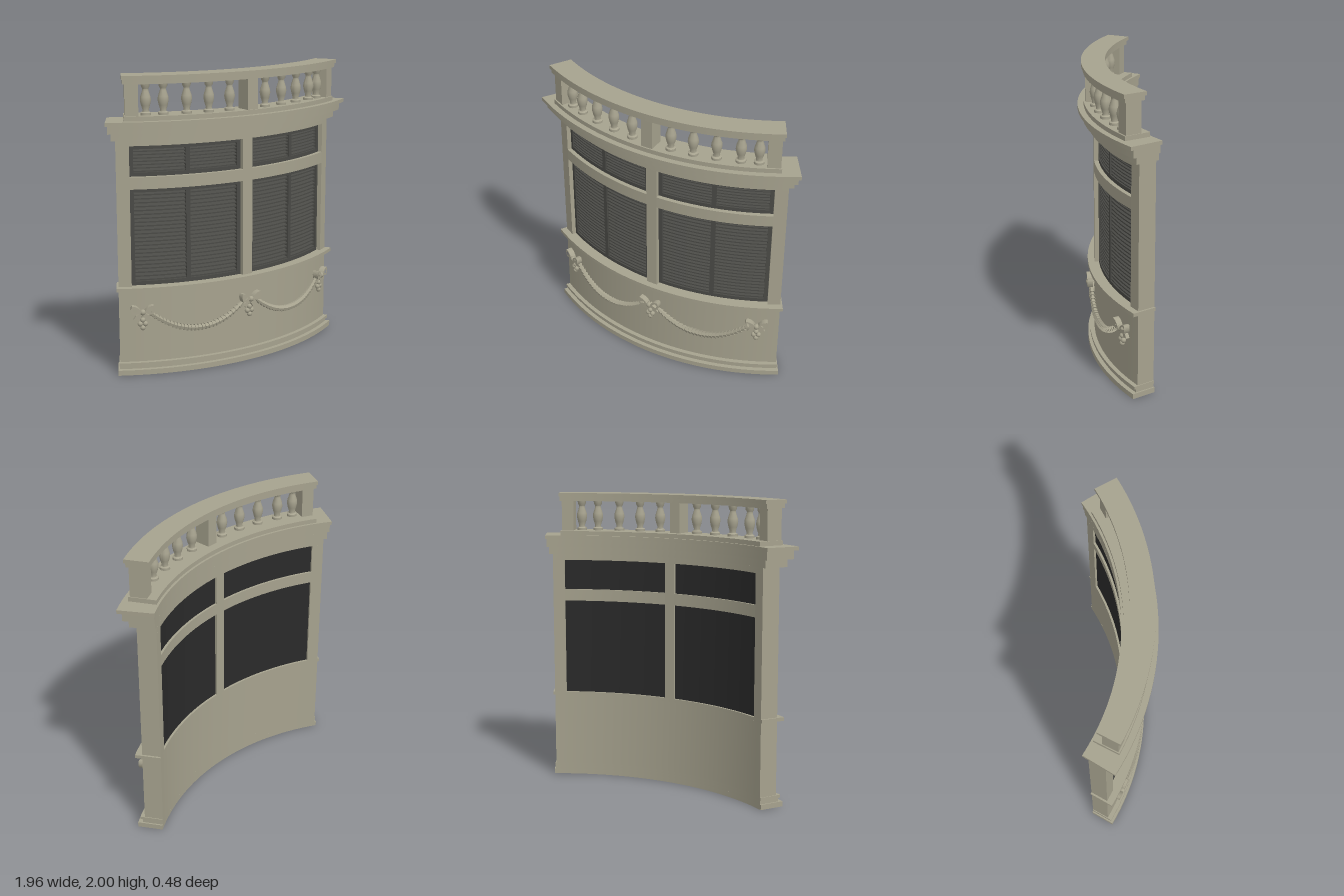
import * as THREE from 'three';
import { toCreasedNormals } from 'three/addons/utils/BufferGeometryUtils.js';

const ZC = -1.595; // z of the centre that every curved part is swept around
const RAD = Math.PI / 180;

export function createModel() {
  const model = new THREE.Group();
  model.name = 'curvedKiosk';

  const stone = new THREE.MeshStandardMaterial({ color: 0xa6a28e });
  stone.name = 'stone';
  const frameDark = new THREE.MeshStandardMaterial({ color: 0x4a4a46 });
  frameDark.name = 'frameCharcoal';
  const panelDark = new THREE.MeshStandardMaterial({ color: 0x2a2a2a });
  panelDark.name = 'panelBlack';

  function add(parent, name, geometry, material) {
    const mesh = new THREE.Mesh(geometry, material);
    mesh.name = name;
    parent.add(mesh);
    return mesh;
  }

  function group(parent, name) {
    const g = new THREE.Group();
    g.name = name;
    parent.add(g);
    return g;
  }

  // Sweep a closed (radius, height) profile between two angles in degrees
  function sweep(points, a0, a1) {
    const shape = new THREE.Shape(points.map(([r, y]) => new THREE.Vector2(r, y)));
    const steps = Math.max(1, Math.round((a1 - a0) / 2));
    const geo = new THREE.ExtrudeGeometry(shape, { depth: a1 - a0, steps, bevelEnabled: false });
    const p = geo.attributes.position;
    for (let i = 0; i < p.count; i++) {
      const r = p.getX(i), a = (a1 - p.getZ(i)) * RAD;
      p.setXYZ(i, r * Math.sin(a), p.getY(i), ZC + r * Math.cos(a));
    }
    geo.deleteAttribute('normal');
    geo.deleteAttribute('uv');
    return toCreasedNormals(geo, 0.4);
  }

  const band = (parent, name, r0, r1, y0, y1, a0, a1, mat = stone) =>
    add(parent, name, sweep([[r0, y0], [r1, y0], [r1, y1], [r0, y1]], a0, a1), mat);

  // Holder that sits on the curve at an angle and faces outward
  function mount(parent, name, angle, r, y) {
    const g = group(parent, name);
    g.position.set(r * Math.sin(angle * RAD), y, ZC + r * Math.cos(angle * RAD));
    g.rotation.y = angle * RAD;
    return g;
  }

  // Wall, plinth, sill and stepped cornice
  const wall = group(model, 'wall');
  [
    ['plinth', 1.6, 1.77, 0, 0.035, 30.95],
    ['plinthStep', 1.6, 1.74, 0.035, 0.06, 30.6],
    ['plinthMoulding', 1.6, 1.755, 0.06, 0.08, 30.7],
    ['lowerWall', 1.6, 1.725, 0.08, 0.578, 30.5],
    ['sill', 1.6, 1.77, 0.578, 0.602, 30.95],
    ['header', 1.6, 1.725, 1.54, 1.58, 30.5],
    ['corniceLower', 1.6, 1.765, 1.58, 1.63, 31.4],
    ['corniceMiddle', 1.6, 1.8, 1.63, 1.685, 32],
    ['corniceTop', 1.595, 1.83, 1.685, 1.71, 32.4],
  ].forEach(([name, r0, r1, y0, y1, a]) => band(wall, name, r0, r1, y0, y1, -a, a));
  band(wall, 'centrePost', 1.6, 1.725, 0.602, 1.54, -1.3, 1.3);
  for (const s of [-1, 1]) {
    const span = (a, b) => (s > 0 ? [a, b] : [-b, -a]);
    band(wall, 'endPilaster', 1.6, 1.725, 0.602, 1.54, ...span(27.6, 30.5));
    band(wall, 'transom', 1.6, 1.725, 1.255, 1.335, ...span(1.3, 27.6));
  }

  // Louvred shutters
  function shutter(s, y0, y1, count) {
    const g = group(model, 'louvredShutter');
    const span = (a, b) => (s > 0 ? [a, b] : [-b, -a]);
    const F = 0.026;
    band(g, 'backPanel', 1.615, 1.645, y0, y1, ...span(1.3, 27.6), panelDark);
    band(g, 'bottomRail', 1.645, 1.695, y0, y0 + F, ...span(1.3, 27.6), frameDark);
    band(g, 'topRail', 1.645, 1.695, y1 - F, y1, ...span(1.3, 27.6), frameDark);
    [[1.3, 2.2], [13.95, 14.95], [26.7, 27.6]].forEach(([a, b]) =>
      band(g, 'stile', 1.645, 1.695, y0 + F, y1 - F, ...span(a, b), frameDark));
    const pitch = (y1 - y0 - 2 * F) / count;
    for (let i = 0; i < count; i++) {
      const y = y0 + F + i * pitch;
      const profile = [[1.645, y + pitch * 0.62], [1.687, y + pitch * 0.1],
        [1.687, y + pitch * 0.45], [1.645, y + pitch * 0.97]];
      for (const [a, b] of [[2.2, 13.95], [14.95, 26.7]])
        add(g, 'slat', sweep(profile, ...span(a, b)), frameDark);
    }
  }
  for (const s of [-1, 1]) {
    shutter(s, 0.602, 1.255, 23);
    shutter(s, 1.335, 1.54, 7);
  }

  // Balustrade
  const balustrade = group(model, 'balustrade');
  band(balustrade, 'baseRail', 1.61, 1.79, 1.71, 1.74, -28.6, 28.6);
  band(balustrade, 'underRail', 1.655, 1.795, 1.945, 1.975, -28.8, 28.8);
  band(balustrade, 'handRail', 1.645, 1.805, 1.975, 2, -29, 29);
  for (const [a, b] of [[-28.4, -25.6], [-1.3, 1.3], [25.6, 28.4]])
    band(balustrade, 'post', 1.67, 1.78, 1.74, 1.945, a, b);
  const balusterGeo = new THREE.LatheGeometry([
    [0, 0], [0.034, 0], [0.034, 0.016], [0.022, 0.022], [0.02, 0.034], [0.029, 0.062], [0.036, 0.095],
    [0.033, 0.118], [0.021, 0.155], [0.019, 0.168], [0.027, 0.182], [0.03, 0.205], [0, 0.205],
  ].map(([x, y]) => new THREE.Vector2(x, y)), 14);
  const baluster = toCreasedNormals(balusterGeo, 0.7);
  for (const s of [-1, 1])
    for (const a of [4.8, 9.85, 14.95, 20.1, 23.9])
      add(mount(balustrade, 'balusterMount', s * a, 1.725, 1.74), 'baluster', baluster, stone);

  // Bows with hanging buds
  const loopShape = new THREE.Shape();
  loopShape.moveTo(0.008, 0);
  loopShape.quadraticCurveTo(0.03, 0.045, 0.072, 0.046);
  loopShape.quadraticCurveTo(0.088, 0.02, 0.068, -0.012);
  loopShape.quadraticCurveTo(0.03, -0.012, 0.008, 0);
  const hole = new THREE.Path();
  hole.moveTo(0.032, 0.012);
  hole.quadraticCurveTo(0.045, 0.03, 0.064, 0.033);
  hole.quadraticCurveTo(0.072, 0.016, 0.06, 0.001);
  hole.quadraticCurveTo(0.045, 0.0, 0.032, 0.012);
  loopShape.holes.push(hole);
  const loopGeo = new THREE.ExtrudeGeometry(loopShape, { depth: 0.04, bevelEnabled: false, curveSegments: 6 });
  const tailShape = new THREE.Shape([[0, 0], [0.045, -0.03], [0.062, -0.055], [0.04, -0.052], [0.03, -0.062], [0, -0.02]]
    .map(([x, y]) => new THREE.Vector2(x, y)).reverse());
  const tailGeo = new THREE.ExtrudeGeometry(tailShape, { depth: 0.025, bevelEnabled: false });
  const budGeo = new THREE.SphereGeometry(0.018, 10, 8);

  for (const a of [-25.4, 0, 25.4]) {
    const bow = mount(model, 'bow', a, 1.725, 0.435);
    for (const flip of [0, Math.PI]) {
      const loop = add(bow, 'bowLoop', loopGeo, stone);
      const tail = add(bow, 'bowTail', tailGeo, stone);
      loop.rotation.y = tail.rotation.y = flip;
      loop.position.z = flip ? 0.052 : 0.012;
      tail.position.z = flip ? 0.028 : 0.003;
    }
    const knot = add(bow, 'bowKnot', new THREE.SphereGeometry(0.02, 10, 8), stone);
    knot.position.z = 0.04;
    const stem = add(bow, 'budStem', new THREE.CylinderGeometry(0.008, 0.008, 0.08, 8), stone);
    stem.position.set(0, -0.05, 0.02);
    for (const [x, y] of [[0, -0.058], [-0.017, -0.085], [0.017, -0.085], [0, -0.112]])
      add(bow, 'bud', budGeo, stone).position.set(x, y, 0.022);
  }

  // Leaf garlands hung between the bows
  const leafGeo = new THREE.CylinderGeometry(0.024, 0.009, 0.046, 6).toNonIndexed();
  leafGeo.computeVertexNormals();
  const up = new THREE.Vector3(0, 1, 0);
  const LEAVES = 26;
  for (const s of [-1, 1]) {
    const garland = group(model, 'garland');
    const at = (t) => {
      const a = s * (2 + t * 21.4) * RAD;
      const u = 2 * t - 1, r = 1.748;
      return new THREE.Vector3(r * Math.sin(a), 0.292 + 0.125 * Math.pow(Math.abs(u), 2.1), ZC + r * Math.cos(a));
    };
    for (let i = 0; i < LEAVES; i++) {
      const t = (i + 0.5) / LEAVES;
      const leaf = add(garland, 'leafCup', leafGeo, stone);
      const dir = at(t + 0.01).sub(at(t - 0.01)).normalize();
      leaf.position.copy(at(t));
      leaf.quaternion.setFromUnitVectors(up, dir);
      const size = 0.8 + 0.25 * Math.sin(Math.PI * t);
      leaf.scale.set(size, 1, size);
    }
  }
  return model;
}
